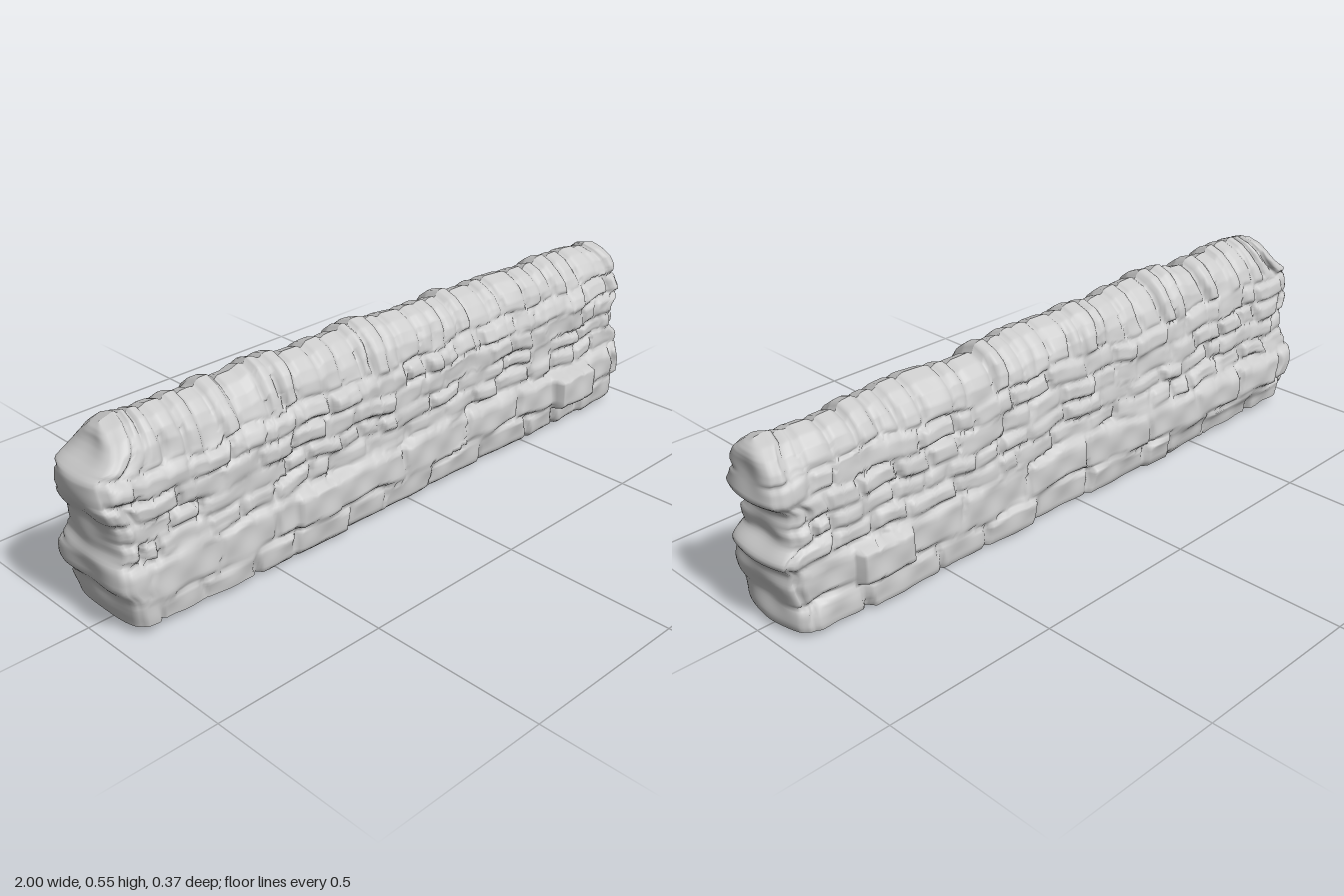
import * as THREE from 'three';

// seeded random numbers
let seed = 11;
const rnd = (a = 0, b = 1) => {
  seed = (seed * 1664525 + 1013904223) % 4294967296;
  return a + (b - a) * (seed / 4294967296);
};
const { lerp, smoothstep } = THREE.MathUtils;

// piecewise linear lookup over [position, value] pairs
function lookup(table, v) {
  for (let i = 1; i < table.length; i++) {
    const [a, p] = table[i - 1], [b, q] = table[i];
    if (v <= b) return p + (q - p) * Math.max(0, (v - a) / (b - a));
  }
  return table[table.length - 1][1];
}
const softLookup = (table, v) => (lookup(table, v - 0.012) + 2 * lookup(table, v) + lookup(table, v + 0.012)) / 4;

// wall section: half depth by height, for a nominal height of 0.55
const FRONT = [[0, 0.112], [0.02, 0.132], [0.1, 0.139], [0.18, 0.135], [0.21, 0.12], [0.3, 0.115], [0.4, 0.114],
  [0.44, 0.096], [0.48, 0.084], [0.51, 0.066], [0.535, 0.038], [0.55, 0]];
const BACK = [[0, 0.122], [0.02, 0.132], [0.1, 0.135], [0.18, 0.132], [0.21, 0.124], [0.3, 0.116], [0.4, 0.104],
  [0.44, 0.097], [0.48, 0.086], [0.51, 0.068], [0.535, 0.04], [0.55, 0]];
// the back swells towards -x and thins towards +x
const SWELL = [[-1, 0.022], [-0.8, 0.04], [-0.5, 0.036], [-0.2, 0.014], [0, 0.002], [0.5, -0.004], [0.85, -0.014], [1, -0.024]];
const SWELL_Y = [[0, 0.3], [0.06, 0.5], [0.095, 1], [0.17, 1], [0.23, 0.45], [0.42, 0.25], [0.55, 0]];
// outlines of the two ends, the top and the foot
const END_A = [[0.02, -0.945], [0.06, -0.955], [0.11, -0.96], [0.135, -0.985], [0.2, -0.982], [0.22, -0.963], [0.3, -0.97],
  [0.33, -0.99], [0.36, -1.002], [0.43, -1.002], [0.45, -0.965], [0.48, -0.94], [0.52, -0.925], [0.55, -0.91]];
const END_B = [[0, 0.95], [0.03, 0.962], [0.08, 0.955], [0.14, 0.972], [0.18, 0.962], [0.2, 0.992], [0.22, 0.988], [0.25, 0.952],
  [0.29, 0.958], [0.33, 0.944], [0.36, 0.992], [0.42, 0.985], [0.47, 0.98], [0.53, 0.94]];
const TOP = [[-0.97, 0.525], [-0.9, 0.55], [-0.6, 0.537], [-0.52, 0.54], [-0.47, 0.562], [-0.42, 0.547], [0, 0.535],
  [0.3, 0.525], [0.9, 0.515], [0.97, 0.5]];
const FOOT = [[-1, 0.028], [-0.6, 0.02], [-0.4, 0], [0, 0.012], [0.4, 0.006], [1, 0.016]];

// stones that stand proud: side, x range, y range, height
const PROUD = [
  [1, 0.612, 0.787, 0.076, 0.18, 0.042],
  [1, -0.435, -0.28, 0.09, 0.188, 0.013],
  [-1, 0.61, 0.785, 0.085, 0.185, 0.03],
];

// course joints with shortest and longest stone
const COURSES = [[0, 0.09, 0.1, 0.24], [0.09, 0.195, 0.13, 0.28], [0.195, 0.25, 0.06, 0.16],
  [0.25, 0.3, 0.06, 0.15], [0.3, 0.36, 0.06, 0.16], [0.36, 0.42, 0.06, 0.16]];
const COPING = [0.42, 0.7, 0.04, 0.1];

// one course as a row of stones with their own set and tilt
function layStones([y0, y1, wMin, wMax]) {
  const stones = [];
  for (let x = -1.05; x < 1.05;) {
    const w = rnd(wMin, wMax);
    stones.push({ x0: x, x1: x + w, set: rnd(-0.007, 0.007), tilt: rnd(-0.1, 0.1), joint: rnd(0.2, 1.1) });
    x += w;
  }
  return { y0, y1, stones };
}
const stoneAt = (stones, x) => stones.find(s => x < s.x1) || stones[stones.length - 1];

// how far the stone face stands out at a point of the wall
function relief(rows, side, x, y) {
  const ph = side * 1.7;
  const wy = y + 0.007 * Math.sin(x * 9 + ph) + 0.005 * Math.sin(x * 31 + ph * 2);
  const wx = x + 0.006 * Math.sin(y * 43 + x * 5 + ph);
  const row = rows.find(r => wy < r.y1);
  const s = stoneAt(row.stones, wx);
  const edgeX = Math.min(wx - s.x0, s.x1 - wx);
  const edgeY = row.y0 > 0 ? Math.min(wy - row.y0, row.y1 - wy) : row.y1 - wy;
  const face = smoothstep(edgeX, 0, 0.017) * smoothstep(edgeY, 0, 0.015);
  const gap = 0.018 * s.joint * (0.8 + 0.5 * Math.sin(x * 21 + ph) * Math.cos(y * 33));
  const wear = 0.003 * Math.sin(x * 48 + ph) * Math.cos(y * 52 - ph);
  let out = face * (s.set + s.tilt * (wx - (s.x0 + s.x1) / 2) * 0.6) - gap * (1 - face) + wear + 0.004;
  for (const [f, x0, x1, y0, y1, h] of PROUD) {
    if (f !== side) continue;
    const inside = smoothstep(Math.min(x - x0, x1 - x), 0, 0.012) * smoothstep(Math.min(y - y0, y1 - y), 0, 0.009);
    out = lerp(out, h + wear, inside);
  }
  return out;
}

function createModel() {
  seed = 11;
  const coping = layStones(COPING);
  const rows = { 1: [...COURSES.map(layStones), coping], '-1': [...COURSES.map(layStones), coping] };

  const NU = 280, NT = 22, NL = 90, COPING_LEVEL = 56; // columns per face, columns per end, levels
  const loop = 2 * (NU + NT);

  // crest line, stepped from one coping stone to the next
  function crest(x) {
    const s = stoneAt(coping.stones, x);
    const joint = 1 - smoothstep(Math.min(x - s.x0, s.x1 - x), 0, 0.018);
    return lookup(TOP, x) + s.set * 1.2 - 0.014 * s.joint * joint;
  }

  // point of a long face, u from end to end and f from foot to crest
  function facePoint(u, f, side) {
    const x = lerp(-0.97, 0.97, u), top = crest(x);
    const y = lerp(lookup(FOOT, x), top, f);
    const level = y * 0.55 / top;
    let half = side > 0 ? lookup(FRONT, level) : lookup(BACK, level) + lookup(SWELL, x) * lookup(SWELL_Y, level);
    const corner = smoothstep(Math.min(u, 1 - u), 0, 0.012);
    half = Math.max(0, half + (relief(rows[side], side, x, y) - 0.014 * (1 - corner)) * Math.min(1, half / 0.1));
    // the uneven end outline fades out along the wall
    const round = 0.014, fadeA = 1 - smoothstep(u, 0, 0.09), fadeB = 1 - smoothstep(u, 0.91, 1);
    const shift = (softLookup(END_A, y) + round + 0.97) * fadeA
      + (softLookup(END_B, y) - round - 0.97) * (1 - fadeB);
    const lean = 0.01 * Math.sin(x * 14) * smoothstep(level, 0.42, 0.55);
    return [x + shift, y, side * half + lean];
  }

  // point of an end, t from one face to the other
  function endPoint(t, f, u, from) {
    const a = facePoint(u, f, from), b = facePoint(u, f, -from);
    const y = lerp(a[1], b[1], t), z = lerp(a[2], b[2], t), out = u > 0.5 ? 1 : -1;
    const bulge = 0.014 * (1 - Math.abs(2 * t - 1) ** 4) * Math.min(1, Math.abs(a[2] - b[2]) / 0.1);
    const wear = 0.006 * Math.sin(Math.PI * t) * Math.sin(y * 38 + out) * Math.cos(z * 24);
    return [lerp(a[0], b[0], t) + out * (bulge + wear), y, z];
  }

  // rings around the wall, from the open foot up to the closed crest
  const points = [];
  for (let k = 0; k <= NL; k++) {
    const f = 1 - (1 - k / NL) ** 1.5;
    for (let i = 0; i < NU; i++) points.push(...facePoint(i / NU, f, 1));
    for (let i = 0; i < NT; i++) points.push(...endPoint(i / NT, f, 1, 1));
    for (let i = 0; i < NU; i++) points.push(...facePoint(1 - i / NU, f, -1));
    for (let i = 0; i < NT; i++) points.push(...endPoint(i / NT, f, 0, -1));
  }

  // sort the quads into the parts of the wall
  const parts = { frontFace: [], leftEnd: [], backFace: [], rightEnd: [], copingStones: [] };
  const all = [];
  for (let k = 0; k < NL; k++) {
    for (let i = 0; i < loop; i++) {
      const j = (i + 1) % loop;
      const a = k * loop + i, b = k * loop + j, c = b + loop, d = a + loop;
      const name = k >= COPING_LEVEL ? 'copingStones'
        : i < NU ? 'frontFace' : i < NU + NT ? 'leftEnd' : i < 2 * NU + NT ? 'backFace' : 'rightEnd';
      parts[name].push(a, b, c, a, c, d);
      all.push(a, b, c, a, c, d);
    }
  }
  const skin = new THREE.BufferGeometry();
  skin.setAttribute('position', new THREE.Float32BufferAttribute(points, 3));
  skin.setIndex(all);
  skin.computeVertexNormals();

  const wall = new THREE.Group();
  wall.name = 'dryStoneWall';
  const material = new THREE.MeshStandardMaterial({ color: 0xcccccc, side: THREE.DoubleSide });
  for (const [name, index] of Object.entries(parts)) {
    const g = new THREE.BufferGeometry();
    g.setAttribute('position', skin.attributes.position);
    g.setAttribute('normal', skin.attributes.normal);
    g.setIndex(index);
    const mesh = new THREE.Mesh(g, material);
    mesh.name = name;
    wall.add(mesh);
  }
  return wall;
}

export { createModel };
